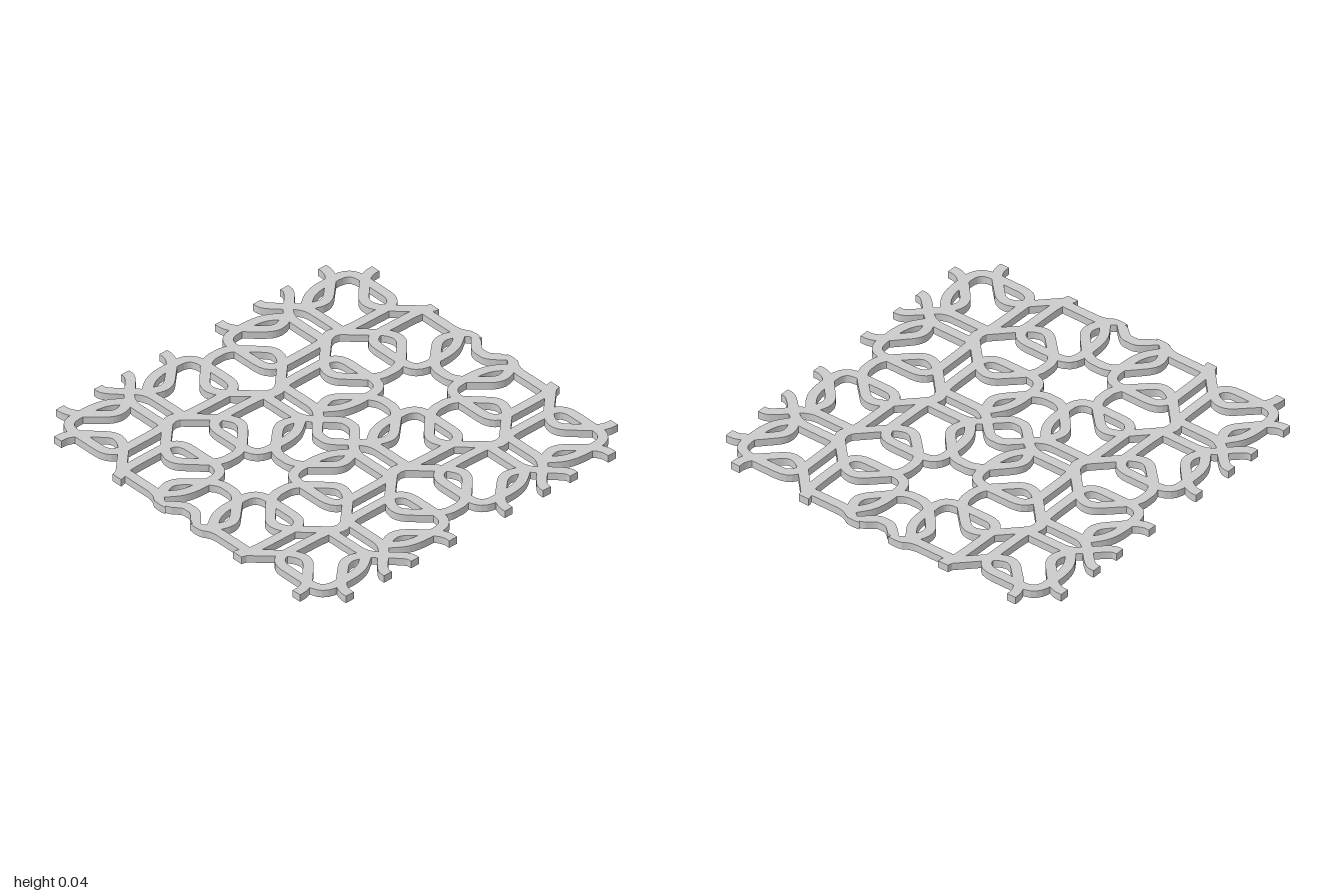
import * as THREE from 'three';
import { mergeGeometries } from 'three/addons/utils/BufferGeometryUtils.js';

const WIDTH = 0.05, HEIGHT = 0.04;

// Strand centre lines [x, z] in one repeat cell: x 0..0.5, z 0..1
const STRANDS = {
  frameStrand: { r: 0.09, pts: [[0.5, 0.58], [0.42, 0.56], [0.095, 0.557], [0.095, 0.897], [0.34, 0.897], [0.44, 0.825]] },
  uprightStrand: { r: 0.05, pts: [[0.443, 0.56], [0.443, 0.81], [0.515, 0.9]] },
  crossingStrand: { r: 0.06, pts: [[0.515, 0.86], [0.415, 0.96], [0.415, 1]] },
  sideLoopStrand: { r: 0.05, pts: [[0, 0.412], [0.02, 0.412], [0.2, 0.585], [0.222, 0.665], [0.09, 0.8], [0.04, 0.823], [0, 0.823]] },
  endLoopStrand: { r: 0.05, pts: [[0.175, 1], [0.175, 0.96], [0.2, 0.91], [0.335, 0.785], [0.41, 0.8], [0.45, 0.84]] },
};

// Polyline with rounded corners
function centreLine(pts, r) {
  const v = pts.map(([x, z]) => new THREE.Vector2(x, z));
  const out = [v[0]];
  for (let i = 1; i < v.length - 1; i++) {
    const toward = (q) => {
      const d = q.clone().sub(v[i]);
      return v[i].clone().add(d.setLength(Math.min(r, d.length() * 0.49)));
    };
    out.push(...new THREE.QuadraticBezierCurve(toward(v[i - 1]), v[i], toward(v[i + 1])).getPoints(6));
  }
  out.push(v[v.length - 1]);
  return out;
}

// Outline of a flat ribbon of constant width along a centre line
function ribbonOutline(line) {
  const left = [], right = [];
  line.forEach((p, i) => {
    const a = line[Math.max(i - 1, 0)], b = line[Math.min(i + 1, line.length - 1)];
    const d = b.clone().sub(a).setLength(WIDTH / 2);
    left.push(new THREE.Vector2(p.x - d.y, p.y + d.x));
    right.unshift(new THREE.Vector2(p.x + d.y, p.y - d.x));
  });
  return left.concat(right);
}

// Copy an outline into the panel, trimmed at the square border
function extrudeOutline(outline, place) {
  const clamp = (n) => THREE.MathUtils.clamp(n, -1, 1);
  const shape = new THREE.Shape(outline.map((p) => {
    const [x, z] = place(p.x, p.y);
    return new THREE.Vector2(clamp(x), -clamp(z));
  }));
  return new THREE.ExtrudeGeometry(shape, { depth: HEIGHT, bevelEnabled: false }).rotateX(-Math.PI / 2);
}

export function createModel() {
  const group = new THREE.Group();
  group.name = 'latticePanel';
  const material = new THREE.MeshStandardMaterial({ color: 0xcccccc });

  // Half-turn within the cell, then mirrored columns and rows
  const halfTurns = [(x, z) => [x, z], (x, z) => [0.5 - x, 1 - z]];
  const columns = [(x) => x, (x) => -x, (x) => 1 - x, (x) => x - 1];
  const rows = [1, -1];

  for (const [name, { pts, r }] of Object.entries(STRANDS)) {
    const outline = ribbonOutline(centreLine(pts, r));
    const copies = [];
    for (const turn of halfTurns) for (const column of columns) for (const row of rows) {
      copies.push(extrudeOutline(outline, (x, z) => {
        const [u, v] = turn(x, z);
        return [column(u), row * v];
      }));
    }
    const mesh = new THREE.Mesh(mergeGeometries(copies), material);
    mesh.name = name;
    group.add(mesh);
  }
  return group;
}
